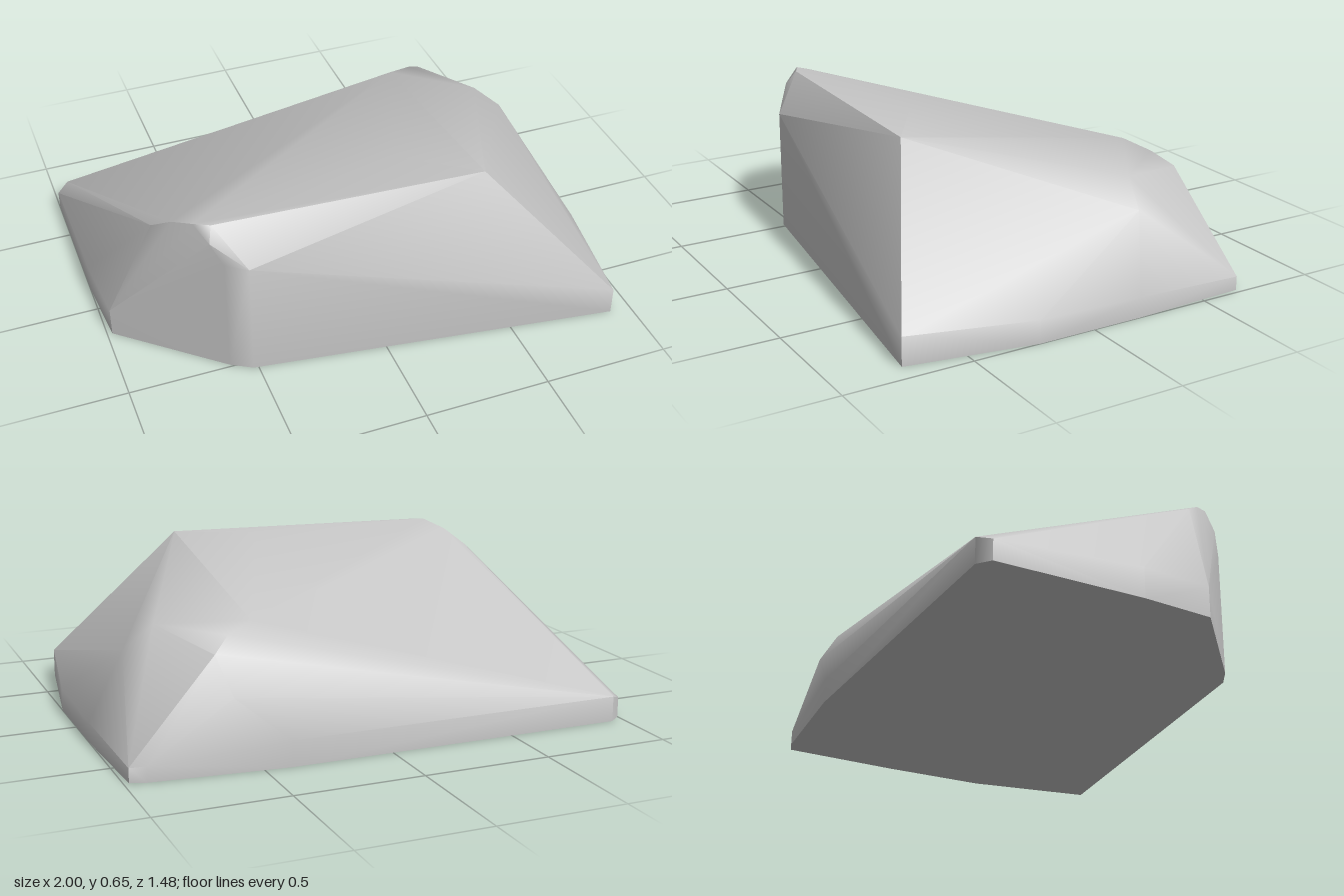
import * as THREE from 'three';
import { ConvexGeometry } from 'three/addons/geometries/ConvexGeometry.js';

// Smooth shallow edges by face area, so broad faces stay flat and steep edges stay sharp
function softenEdges(geometry, creaseAngle) {
  const pos = geometry.attributes.position;
  const corner = (i) => new THREE.Vector3().fromBufferAttribute(pos, i);
  const facesAt = new Map();
  const keys = [];
  const faces = [];
  for (let i = 0; i < pos.count; i += 3) {
    const [a, b, c] = [corner(i), corner(i + 1), corner(i + 2)];
    const weighted = b.clone().sub(a).cross(c.clone().sub(a));
    const face = { weighted, unit: weighted.clone().normalize() };
    faces.push(face);
    for (const p of [a, b, c]) {
      const key = p.toArray().join();
      keys.push(key);
      if (!facesAt.has(key)) facesAt.set(key, []);
      facesAt.get(key).push(face);
    }
  }
  const normals = keys.flatMap((key, i) => {
    const own = faces[Math.floor(i / 3)].unit;
    const sum = new THREE.Vector3();
    for (const f of facesAt.get(key)) {
      if (f.unit.dot(own) > Math.cos(creaseAngle)) sum.add(f.weighted);
    }
    return sum.normalize().toArray();
  });
  geometry.setAttribute('normal', new THREE.Float32BufferAttribute(normals, 3));
  return geometry;
}

export function createModel() {
  const group = new THREE.Group();
  group.name = 'boulder';
  const stone = new THREE.MeshStandardMaterial({ color: 0xc6c6c6 });
  stone.name = 'stone grey';

  // Footprint corners [x, z, height of the short vertical rim]
  const rim = [
    [-1, -0.7, 0.08], [-0.95, -0.74, 0.1], [0.4, -0.74, 0.1], [0.92, -0.69, 0.06],
    [0.98, -0.67, 0.055], [1, -0.2, 0.08], [1, 0.23, 0.09], [0.915, 0.735, 0.112],
    [-0.52, 0.537, 0.49], [-0.6, 0.49, 0.5], [-0.98, 0.16, 0.12], [-1, -0.12, 0.12],
  ];

  // Upper corners [x, y, z]
  const crown = [
    [0.44, 0.643, 0.477], [0.15, 0.65, 0.28], [-0.62, 0.632, 0.41], [-0.68, 0.633, 0.38],
    [-0.64, 0.58, 0.45], [-0.74, 0.6, 0.3], [-0.8, 0.54, 0.22], // left shoulder
    [0.46, 0.49, -0.5], [0.57, 0.46, -0.555], [0.64, 0.41, -0.615], [0.6, 0.27, -0.7], // back shoulder
    [0.77, 0.46, -0.3], [0.88, 0.365, -0.27], // right shoulder
  ];

  const points = crown.map((p) => new THREE.Vector3(...p));
  for (const [x, z, y] of rim) {
    points.push(new THREE.Vector3(x, 0, z), new THREE.Vector3(x, y, z));
  }

  const rock = new THREE.Mesh(softenEdges(new ConvexGeometry(points), 0.7), stone);
  rock.name = 'rock';
  group.add(rock);
  return group;
}
